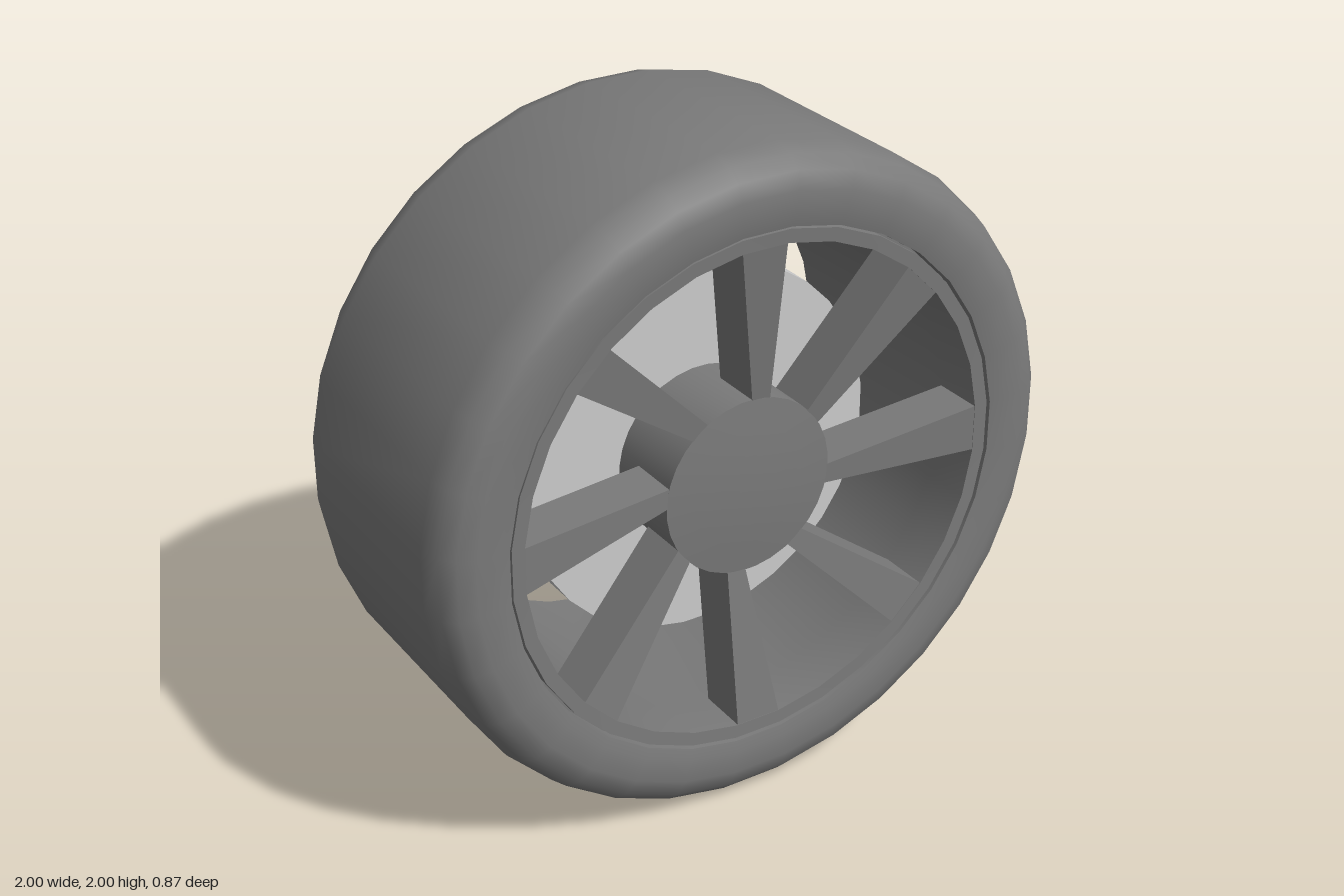
import * as THREE from 'three';
import { toCreasedNormals } from 'three/addons/utils/BufferGeometryUtils.js';

const SIDES = 32;
const darkGrey = new THREE.MeshStandardMaterial({ color: 0x7a7a7a });
const lightGrey = new THREE.MeshStandardMaterial({ color: 0xc6c6c6 });

// Revolves [radius, z] points around the z axis, with a flat side at the top.
function revolve(name, material, profile) {
  const points = profile.map(([r, z]) => new THREE.Vector2(r, z));
  const geometry = new THREE.LatheGeometry(points, SIDES, Math.PI / SIDES);
  geometry.rotateX(Math.PI / 2);
  const mesh = new THREE.Mesh(toCreasedNormals(geometry, 0.75), material);
  mesh.name = name;
  return mesh;
}

// Tapered spoke pointing up: a box whose corners follow the hub and rim ends.
function spokeGeometry() {
  const hubEnd = { r: 0.25, left: 0.01, right: 0.067, front: 0.35, back: 0.19 };
  const rimEnd = { r: 0.755, left: -0.075, right: 0.069, front: 0.418, back: 0.26 };
  const geometry = new THREE.BoxGeometry(1, 1, 1);
  const p = geometry.attributes.position;
  for (let i = 0; i < p.count; i++) {
    const end = p.getY(i) > 0 ? rimEnd : hubEnd;
    p.setXYZ(i, p.getX(i) > 0 ? end.right : end.left, end.r, p.getZ(i) > 0 ? end.front : end.back);
  }
  geometry.computeVertexNormals();
  return geometry;
}

export function createModel() {
  const wheel = new THREE.Group();
  wheel.name = 'wheel';

  // Tyre: wide tread, rounded shoulders, shallow groove beside the rim
  wheel.add(revolve('tire', darkGrey, [
    [0.757, -0.43], [0.80, -0.432], [0.90, -0.435], [0.95, -0.42], [0.985, -0.385], [1.004, -0.32],
    [1.004, 0.32], [0.985, 0.385], [0.95, 0.42], [0.90, 0.435], [0.83, 0.432], [0.797, 0.425], [0.796, 0.39],
  ]));

  // Rim: flat front lip and the barrel running to the back
  wheel.add(revolve('rim', darkGrey, [
    [0.797, 0.39], [0.790, 0.39], [0.789, 0.42], [0.748, 0.418], [0.748, 0.26], [0.757, 0.20], [0.757, -0.43],
  ]));

  // Hub with a slightly domed face
  wheel.add(revolve('hub', darkGrey, [
    [0.27, 0.1], [0.27, 0.352], [0.18, 0.36], [0.09, 0.365], [0, 0.366],
  ]));

  // Spokes
  const spokes = new THREE.Group();
  spokes.name = 'spokes';
  const geometry = spokeGeometry();
  for (let i = 0; i < 8; i++) {
    const spoke = new THREE.Mesh(geometry, darkGrey);
    spoke.name = 'spoke';
    spoke.rotation.z = (i * Math.PI) / 4;
    spokes.add(spoke);
  }
  wheel.add(spokes);

  // Thick brake disc closing the back of the hub
  wheel.add(revolve('brakeDisc', lightGrey, [
    [0, -0.01], [0.57, -0.01], [0.57, 0.1], [0, 0.1],
  ]));

  wheel.position.y = 1;
  const model = new THREE.Group();
  model.name = 'carWheel';
  model.add(wheel);
  return model;
}
